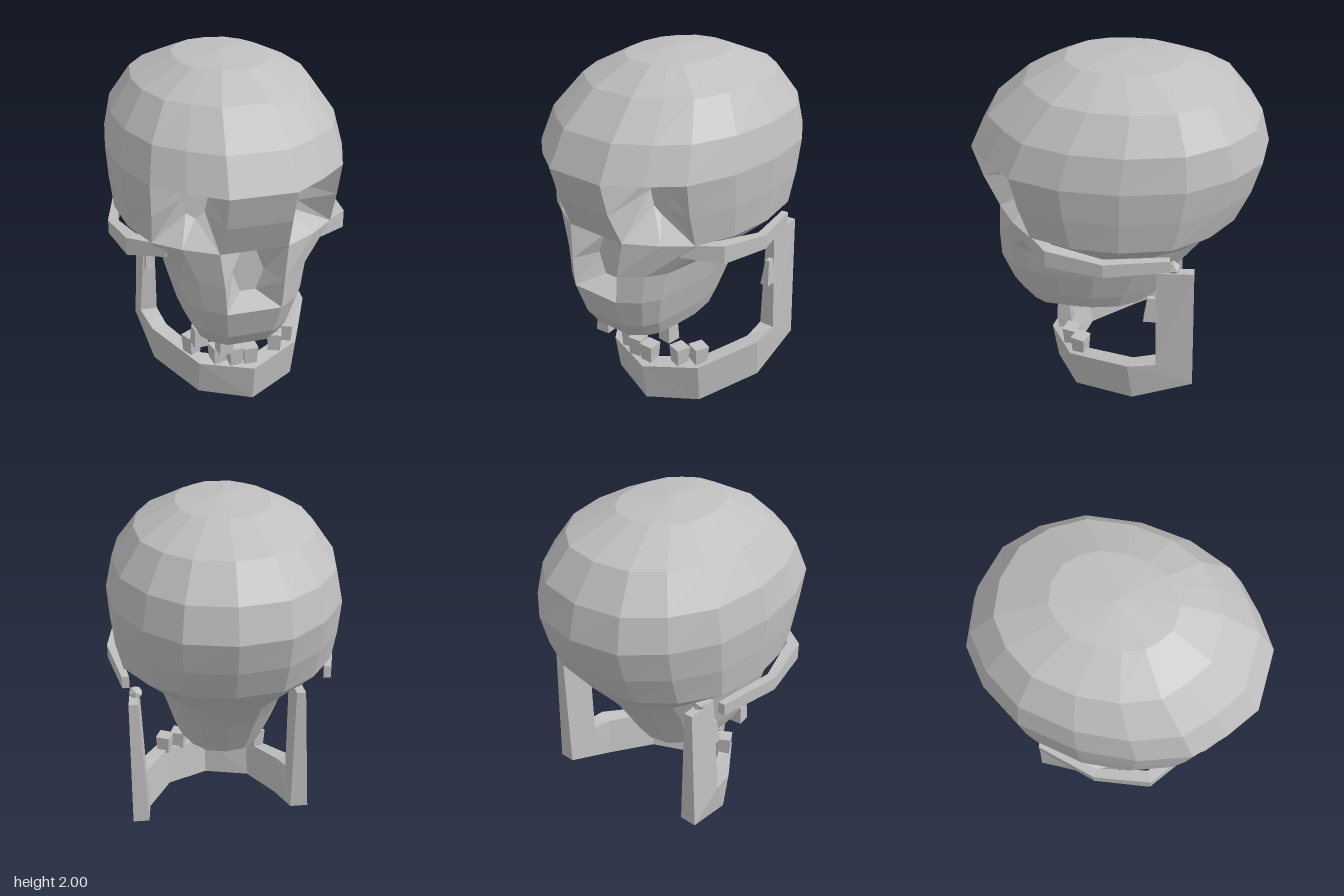
import * as THREE from 'three';

const bone = new THREE.MeshStandardMaterial({ color: 0xbfbfbf, flatShading: true });
bone.name = 'bone grey';

// Mesh from a list of triangle corners
function facetMesh(points, name) {
  const geo = new THREE.BufferGeometry().setFromPoints(points);
  geo.computeVertexNormals();
  const mesh = new THREE.Mesh(geo, bone);
  mesh.name = name;
  return mesh;
}

const V = (p) => new THREE.Vector3(...p);

// Closed bar through four-cornered sections, turned outward by its signed volume
function bar(sections, name) {
  const s = sections.map((sec) => sec.map(V));
  const tris = [];
  const quad = (a, b, c, d) => tris.push([a, b, c], [a, c, d]);
  for (let i = 0; i + 1 < s.length; i++) {
    for (let k = 0; k < 4; k++) {
      const n = (k + 1) % 4;
      quad(s[i][k], s[i][n], s[i + 1][n], s[i + 1][k]);
    }
  }
  const e = s[s.length - 1];
  quad(s[0][3], s[0][2], s[0][1], s[0][0]);
  quad(e[0], e[1], e[2], e[3]);
  const volume = tris.reduce((v, [a, b, c]) => v + a.dot(b.clone().cross(c)), 0);
  if (volume < 0) tris.forEach((t) => t.reverse());
  return facetMesh(tris.flat(), name);
}

// Half outline of a skull ring from back to front, as fractions of its half sizes
const HALF = [[0, -1], [0.42, -0.935], [0.71, -0.735], [0.93, -0.44], [1, -0.03],
  [0.95, 0.35], [0.79, 0.68], [0.55, 0.85], [0.27, 1]];
// y, half width, front z, back z, squareness of the face
const RINGS = [
  [1.97, 0.25, 0.29, -0.33, 0], [1.86, 0.47, 0.50, -0.60, 0],
  [1.69, 0.59, 0.69, -0.74, 0], [1.51, 0.63, 0.79, -0.79, 0],
  [1.33, 0.62, 0.74, -0.74, 0], [1.15, 0.60, 0.66, -0.66, 0.2],
  [0.96, 0.39, 0.68, -0.50, 0.9], [0.80, 0.35, 0.68, -0.38, 1],
  [0.62, 0.30, 0.62, -0.27, 1], [0.52, 0.26, 0.55, -0.21, 1],
];

function makeRing([y, rx, front, back, square]) {
  const mid = (front + back) / 2, rz = (front - back) / 2;
  const widen = { 6: 0.09, 7: 0.17, 8: 0.15 };
  const side = HALF.map(([x, z], k) =>
    new THREE.Vector3(rx * (x + square * (widen[k] || 0)), y, mid + rz * z));
  const mirrored = side.slice(1).reverse().map((p) => new THREE.Vector3(-p.x, p.y, p.z));
  return [...side, ...mirrored];
}

function makeSkull() {
  const group = new THREE.Group();
  group.name = 'skull';
  const rings = RINGS.map(makeRing);
  const n = rings[0].length;
  const shell = [];
  const apex = new THREE.Vector3(0, 2, 0);
  const base = new THREE.Vector3(0, 0.52, 0.17);
  const isHole = (row, k) =>
    ((row === 3 || row === 4) && [6, 7, 9, 10].includes(k)) ||
    ((row === 5 || row === 6) && k === 8);

  // Cranium and upper jaw shell, open at the eyes and nose
  for (let k = 0; k < n; k++) {
    const m = (k + 1) % n;
    shell.push(apex, rings[0][m], rings[0][k]);
    for (let r = 0; r + 1 < rings.length; r++) {
      if (isHole(r, k)) continue;
      const a = rings[r][k], b = rings[r][m], c = rings[r + 1][m], d = rings[r + 1][k];
      shell.push(a, b, c, a, c, d);
    }
    const last = rings[rings.length - 1];
    shell.push(base, last[k], last[m]);
  }
  group.add(facetMesh(shell, 'cranium'));

  // Funnel from a clockwise rim down to a small flat floor
  function recess(rim, floor, name) {
    const out = [];
    const centre = floor.reduce((s, p) => s.add(p), new THREE.Vector3())
      .divideScalar(floor.length);
    rim.forEach((p, i) => {
      const j = (i + 1) % rim.length;
      out.push(p, floor[i], floor[j], p, floor[j], rim[j]);
      out.push(centre, floor[j], floor[i]);
    });
    group.add(facetMesh(out, name));
  }
  const floorPoint = (deg, cx, cy, rx, ry, z) => {
    const a = THREE.MathUtils.degToRad(deg);
    return new THREE.Vector3(cx + rx * Math.cos(a), cy + ry * Math.sin(a), z);
  };

  // Eye sockets
  const eyeRim = [[3, 8], [3, 7], [3, 6], [4, 6], [5, 6], [5, 7], [5, 8], [4, 8]];
  for (const s of [1, -1]) {
    const rim = eyeRim.map(([r, k]) => rings[r][s > 0 ? k : n - k]);
    const floor = rim.map((_, i) => {
      const p = floorPoint(135 - 45 * i, 0.25, 1.37, 0.07, 0.12, 0.43);
      p.x *= s;
      return p;
    });
    if (s < 0) { rim.reverse(); floor.reverse(); }
    recess(rim, floor, s > 0 ? 'leftEyeSocket' : 'rightEyeSocket');
  }

  // Nose opening
  const noseRim = [[5, 9], [5, 8], [6, 8], [7, 8], [7, 9], [6, 9]].map(([r, k]) => rings[r][k]);
  const noseFloor = noseRim.map((_, i) => floorPoint(120 - 60 * i, 0, 0.97, 0.085, 0.135, 0.55));
  recess(noseRim, noseFloor, 'noseOpening');

  // Cheek arches: outer x, outer z, inner x, inner z, bottom, top
  const arch = [[0.42, 0.49, 0.37, 0.43, 1.08, 1.15], [0.60, 0.36, 0.54, 0.33, 1.05, 1.15],
    [0.65, 0.06, 0.60, 0.06, 1.03, 1.11], [0.57, -0.28, 0.53, -0.28, 1.02, 1.09]];
  for (const s of [1, -1]) {
    group.add(bar(arch.map(([ox, oz, ix, iz, lo, hi]) =>
      [[s * ox, lo, oz], [s * ox, hi, oz], [s * ix, hi, iz], [s * ix, lo, iz]]),
    s > 0 ? 'leftCheekArch' : 'rightCheekArch'));
  }
  return group;
}

// Tapered tooth; the wide end is the biting edge
function tooth(x, y, z, height, turn, upper, name) {
  const geo = new THREE.CylinderGeometry(upper ? 0.05 : 0.06, upper ? 0.058 : 0.05, height, 4);
  geo.rotateY(Math.PI / 4 + turn);
  const mesh = new THREE.Mesh(geo, bone);
  mesh.position.set(x, y, z);
  mesh.name = name;
  return mesh;
}

function makeJaw() {
  const group = new THREE.Group();
  group.name = 'lowerJaw';
  // Outer bottom, outer top and inner top corners along the bone
  const path = [
    [[0.54, 0.99, -0.41], [0.53, 0.98, -0.21], [0.48, 0.98, -0.21]],
    [[0.55, 0.23, -0.43], [0.55, 0.36, -0.22], [0.46, 0.36, -0.22]],
    [[0.54, 0.10, -0.09], [0.55, 0.34, -0.06], [0.46, 0.33, -0.09]],
    [[0.37, 0.03, 0.25], [0.38, 0.27, 0.28], [0.33, 0.28, 0.20]],
    [[0.09, 0.00, 0.39], [0.09, 0.23, 0.42], [0.08, 0.25, 0.33]],
    [[-0.21, 0.03, 0.28], [-0.21, 0.25, 0.32], [-0.18, 0.27, 0.24]],
    [[-0.41, 0.09, -0.03], [-0.42, 0.32, 0.00], [-0.33, 0.32, -0.03]],
    [[-0.46, 0.22, -0.37], [-0.46, 0.36, -0.16], [-0.36, 0.36, -0.16]],
    [[-0.42, 0.98, -0.36], [-0.41, 0.97, -0.16], [-0.36, 0.97, -0.16]],
  ];
  group.add(bar(path.map(([ob, ot, it]) =>
    [ob, ot, it, it.map((v, i) => v + ob[i] - ot[i])]), 'jawBone'));

  // Hinge knobs and small front spurs on the upright branches
  for (const [x, z, side] of [[0.50, -0.30, 'left'], [-0.39, -0.26, 'right']]) {
    const knob = new THREE.Mesh(new THREE.IcosahedronGeometry(0.04, 0), bone);
    knob.position.set(x, 1.0, z);
    knob.name = side + 'HingeKnob';
    const spur = new THREE.Mesh(new THREE.CylinderGeometry(0.03, 0.06, 0.15, 4), bone);
    spur.geometry.rotateY(Math.PI / 4);
    spur.scale.x = 0.6;
    spur.position.set(x + (side === 'left' ? 0.02 : -0.01), 0.74, z + 0.11);
    spur.name = side + 'Spur';
    group.add(knob, spur);
  }

  // Lower teeth
  [[-0.23, 0.33, 0.21, 0.5], [-0.10, 0.30, 0.30, 0.25], [-0.01, 0.30, 0.34, 0.15],
    [0.08, 0.29, 0.34, 0], [0.25, 0.31, 0.28, -0.3], [0.34, 0.32, 0.22, -0.4]]
    .forEach(([x, y, z, turn]) => group.add(tooth(x, y, z, 0.11, turn, false, 'lowerTooth')));
  return group;
}

export function createModel() {
  const model = new THREE.Group();
  model.name = 'skullModel';
  model.add(makeSkull(), makeJaw());
  // Upper teeth
  [[-0.22, 0.48, 0.36, 0.1], [-0.11, 0.50, 0.49, 0.1], [0.205, 0.475, 0.32, -0.1]]
    .forEach(([x, y, z, turn]) => model.add(tooth(x, y, z, 0.11, turn, true, 'upperTooth')));
  return model;
}
